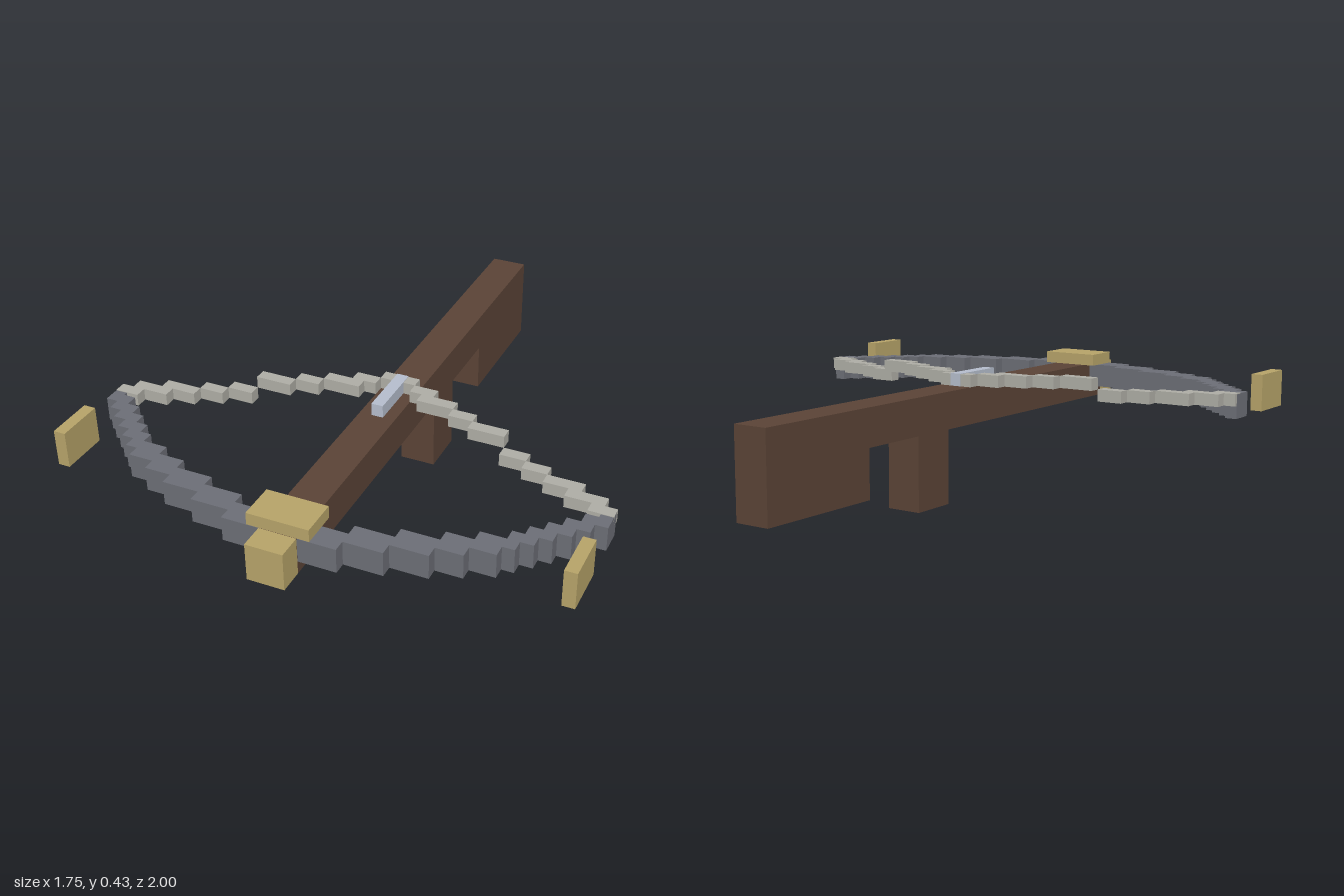
import * as THREE from 'three';

const material = (name, color) => {
  const m = new THREE.MeshStandardMaterial({ color });
  m.name = name;
  return m;
};

export function createModel() {
  const wood = material('dark wood', 0x5a4336);
  const brass = material('brass', 0xb5a268);
  const steel = material('steel', 0x6b6d75);
  const cord = material('cord', 0xadaca4);
  const silver = material('silver', 0xb4bccb);

  const model = new THREE.Group();
  model.name = 'crossbow';

  // Box given by its limits on each axis
  const box = (parent, name, mat, [x0, x1], [y0, y1], [z0, z1]) => {
    const mesh = new THREE.Mesh(new THREE.BoxGeometry(x1 - x0, y1 - y0, z1 - z0), mat);
    mesh.position.set((x0 + x1) / 2, (y0 + y1) / 2, (z0 + z1) / 2);
    mesh.name = name;
    parent.add(mesh);
  };
  const group = (name) => {
    const g = new THREE.Group();
    g.name = name;
    model.add(g);
    return g;
  };

  const W = 0.0625; // half width of the stock
  const U = 0.0418; // step of the blocky curves

  // Stock outline from the side, with the grip and the butt, extruded across
  const side = new THREE.Shape([
    [-1, 0.09], [-0.53, 0.09], [-0.53, 0.258], [-0.274, 0.258], [-0.274, 0],
    [-0.105, 0], [-0.105, 0.258], [0.915, 0.258], [0.915, 0.387], [-1, 0.387],
  ].map(([z, y]) => new THREE.Vector2(z, y)));
  const stockGeometry = new THREE.ExtrudeGeometry(side, { depth: 2 * W, bevelEnabled: false });
  stockGeometry.translate(0, 0, -W).rotateY(-Math.PI / 2);
  const stock = new THREE.Mesh(stockGeometry, wood);
  stock.name = 'stock';
  model.add(stock);

  // Brass fittings
  box(model, 'noseCap', brass, [-W, W], [0.258, 0.387], [0.915, 1]);
  box(model, 'bowClamp', brass, [-0.104, 0.104], [0.387, 0.429], [0.785, 0.914]);
  box(model, 'leftTipPlate', brass, [0.832, 0.873], [0.302, 0.429], [0.617, 0.785]);
  box(model, 'rightTipPlate', brass, [-0.873, -0.832], [0.302, 0.429], [0.617, 0.785]);

  // Bow limbs, stepping backwards towards the tips
  const bow = group('bow');
  const bowEnds = [0.19, 0.32, 0.445, 0.535, 0.62, 0.66, 0.703, 0.745, 0.79, 0.832, 0.873];
  bowEnds.forEach((end, i) => {
    const start = i ? bowEnds[i - 1] : 0;
    const front = 0.914 - i * U;
    for (const [name, x] of [['leftLimbBlock', [start, end]], ['rightLimbBlock', [-end, -start]]])
      box(bow, name, steel, x, [0.302, 0.386], [front - 2 * U, front]);
  });

  // Drawn string, the inner half one step higher than the outer half
  const string = group('string');
  const spans = [
    [0, 0.0625], [0.0625, 0.148], [0.105, 0.235], [0.235, 0.32], [0.32, 0.445],
    [0.445, 0.535], [0.535, 0.62], [0.62, 0.745], [0.703, 0.832], [0.79, 0.873],
  ];
  spans.forEach(([start, end], i) => {
    const back = 0.022 + i * U;
    const y = i < 5 ? [0.387, 0.429] : [0.346, 0.388];
    for (const [name, x] of [['leftStringBlock', [start, end]], ['rightStringBlock', [-end, -start]]])
      box(string, name, cord, x, y, [back, back + U]);
  });

  // Bolt lying on the stock
  box(model, 'bolt', silver, [-0.0205, 0.0205], [0.387, 0.431], [0.021, 0.228]);

  return model;
}
